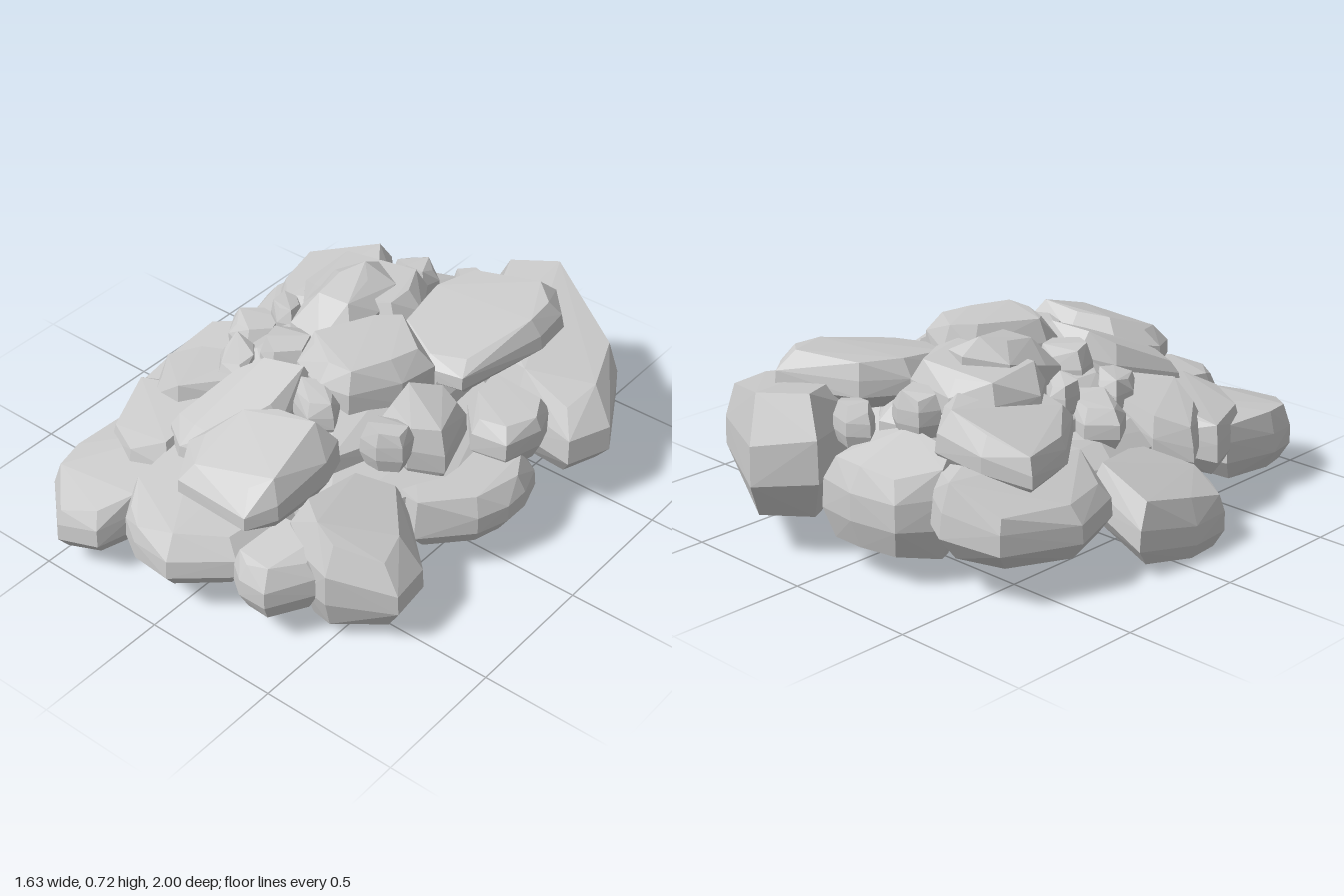
import * as THREE from 'three';
import { ConvexGeometry } from 'three/addons/geometries/ConvexGeometry.js';

const stone = new THREE.MeshStandardMaterial({ color: 0xcccccc, flatShading: true });

// Seeded noise in 0..1 so every stone is chipped differently
let seed = 11;
const noise = () => (seed = (seed * 16807) % 2147483647) / 2147483647;

// A faceted boulder: plan outline [x, z], height range at its centre,
// slope of the top along x and z (the underside follows by the factor under),
// and how much of the outline the top face covers
function boulder(name, outline, y0, y1, slopeX = 0, slopeZ = 0, under = 0.4, top = 0.76) {
  const cx = outline.reduce((s, p) => s + p[0], 0) / outline.length;
  const cz = outline.reduce((s, p) => s + p[1], 0) / outline.length;
  // Rings from underside to top: height fraction, outline scale, chipping
  const rings = [[0, 0.8, 0.08], [0.3, 1, 0], [0.62, 0.98, 0.04], [1, top, 0.18]];
  const points = [];
  for (const [t, scale, chip] of rings) {
    for (const [x, z] of outline) {
      const k = scale + (noise() - 0.5) * chip;
      const h = t - noise() * chip * t;
      const dx = (x - cx) * k, dz = (z - cz) * k;
      const tilt = (dx * slopeX + dz * slopeZ) * THREE.MathUtils.lerp(under, 1, t);
      points.push(new THREE.Vector3(cx + dx, THREE.MathUtils.lerp(y0, y1, h) + tilt, cz + dz));
    }
  }
  const mesh = new THREE.Mesh(new ConvexGeometry(points), stone);
  mesh.name = name;
  return mesh;
}

// A small filler stone with an uneven oval plan
function pebble(name, x, z, rx, rz, turn, y0, y1) {
  const outline = [];
  for (let i = 0; i < 6; i++) {
    const a = (i / 6) * Math.PI * 2, r = 1 + 0.1 * Math.sin(i * 2.3);
    const px = Math.cos(a) * rx * r, pz = Math.sin(a) * rz * r;
    outline.push([x + px * Math.cos(turn) - pz * Math.sin(turn), z + px * Math.sin(turn) + pz * Math.cos(turn)]);
  }
  return boulder(name, outline, y0, y1);
}

export function createModel() {
  const pile = new THREE.Group();
  pile.name = 'rockPile';

  // Core and lower ring of boulders
  pile.add(
    boulder('coreRock', [[-0.58, -0.1], [-0.45, -0.5], [0.1, -0.62], [0.5, -0.38], [0.55, 0.1], [0.35, 0.5], [-0.1, 0.62], [-0.5, 0.45]], 0.16, 0.45),
    boulder('upperCoreRock', [[-0.42, -0.1], [-0.35, -0.5], [0.05, -0.58], [0.35, -0.3], [0.36, 0.1], [0.25, 0.38], [-0.15, 0.4], [-0.38, 0.2]], 0.3, 0.57),
    boulder('backLeftBoulder', [[0.05, -0.85], [0.22, -1], [0.58, -0.79], [0.66, -0.75], [0.81, -0.48], [0.75, -0.31], [0.5, -0.33], [0.2, -0.5]], 0.17, 0.55, -0.25, 0, 0, 0.75),
    boulder('backRock', [[-0.38, -0.66], [-0.28, -0.82], [-0.1, -0.85], [0.06, -0.83], [0.08, -0.6], [-0.1, -0.54], [-0.33, -0.57]], 0.11, 0.49, 0.05, 0.25, -0.8),
    boulder('backRightBoulder', [[-0.73, -0.42], [-0.63, -0.7], [-0.43, -0.77], [-0.3, -0.7], [-0.2, -0.3], [-0.5, -0.15], [-0.66, -0.2]], 0.16, 0.42, 0.28, 0, 0.2, 0.86),
    boulder('rightSideRock', [[-0.82, 0.05], [-0.78, -0.2], [-0.55, -0.2], [-0.48, 0.08], [-0.65, 0.25], [-0.74, 0.27], [-0.8, 0.22]], 0.07, 0.3, 0.5, -0.1, 0.9, 0.8),
    boulder('leftSideSlab', [[0.72, -0.1], [0.68, -0.22], [0.4, -0.36], [0.1, -0.2], [0.15, 0.2], [0.53, 0.28], [0.68, 0.12], [0.72, 0]], 0.13, 0.36, -0.1, 0, -0.5, 0.85),
    boulder('frontLeftBoulder', [[0.26, 0.5], [0.3, 0.3], [0.45, 0.22], [0.68, 0.42], [0.7, 0.58], [0.5, 0.71], [0.4, 0.7], [0.27, 0.62]], 0.08, 0.46, -0.45, 0.12, -0.15, 0.72),
    boulder('frontLeftStone', [[0.18, 0.8], [0.2, 0.55], [0.42, 0.58], [0.46, 0.7], [0.36, 0.85], [0.25, 0.85]], 0.14, 0.36, 0, -0.15),
    boulder('frontSlab', [[-0.3, 0.78], [-0.3, 0.4], [0, 0.25], [0.25, 0.4], [0.2, 0.8], [0.02, 0.95], [-0.13, 0.94], [-0.23, 0.88]], 0.14, 0.39, -0.06, -0.14, 0, 0.85),
    boulder('frontRightBoulder', [[-0.63, 0.72], [-0.6, 0.48], [-0.3, 0.45], [-0.25, 0.8], [-0.3, 0.95], [-0.44, 1], [-0.6, 0.85]], 0.1, 0.33, 0.05, -0.15, 0.2, 0.9),
    boulder('rightFrontRock', [[-0.66, 0.35], [-0.5, 0.26], [-0.27, 0.3], [-0.24, 0.65], [-0.38, 0.7], [-0.55, 0.62]], 0.19, 0.41, 0.2, -0.15, 0.4, 0.88),
  );

  // Middle tier
  pile.add(
    boulder('rightMiddleRock', [[-0.66, 0.22], [-0.55, 0.13], [-0.3, 0.11], [-0.25, 0.3], [-0.4, 0.43], [-0.55, 0.4]], 0.26, 0.47, 0.35, 0, 0.4, 0.86),
    boulder('leftMiddleRock', [[0.38, -0.35], [0.63, -0.37], [0.67, -0.25], [0.63, -0.1], [0.5, -0.07], [0.39, -0.2]], 0.29, 0.5, -0.05),
    boulder('leftUprightRock', [[0.27, 0.02], [0.36, -0.13], [0.45, -0.12], [0.52, 0.1], [0.42, 0.18], [0.28, 0.16]], 0.32, 0.58, -0.4),
    boulder('backRightUpperRock', [[-0.6, -0.52], [-0.45, -0.6], [-0.28, -0.64], [-0.18, -0.5], [-0.25, -0.15], [-0.42, -0.13], [-0.55, -0.3]], 0.38, 0.57, 0.4, 0, 0.4, 0.86),
    boulder('frontUpperRock', [[-0.32, 0.55], [-0.25, 0.28], [-0.15, 0.18], [0.03, 0.18], [0.04, 0.38], [-0.1, 0.6], [-0.22, 0.62]], 0.36, 0.58, 0.1, -0.35),
    boulder('frontUpperBlock', [[-0.17, 0.62], [-0.1, 0.45], [0.05, 0.36], [0.27, 0.35], [0.3, 0.45], [0.28, 0.68], [0.22, 0.78], [-0.08, 0.77]], 0.36, 0.59, 0, -0.35, 0, 0.72),
  );

  // Crown
  pile.add(
    boulder('backCrownSlab', [[0.02, -0.45], [0.1, -0.62], [0.38, -0.75], [0.48, -0.65], [0.49, -0.5], [0.4, -0.15], [0.25, -0.12], [0.05, -0.2]], 0.48, 0.65, -0.02, -0.1, 0.4, 0.85),
    boulder('rightCrownSlab', [[-0.39, -0.25], [-0.35, -0.43], [-0.2, -0.5], [0, -0.48], [0.1, -0.33], [0.07, -0.2], [-0.3, -0.13]], 0.47, 0.67, 0.08),
    boulder('centreCrownRock', [[-0.09, 0.1], [0.03, -0.15], [0.12, -0.22], [0.32, -0.1], [0.3, 0.05], [0.2, 0.22], [0.08, 0.24], [-0.07, 0.18]], 0.45, 0.71),
    boulder('peakRock', [[-0.27, -0.28], [-0.15, -0.39], [-0.03, -0.33], [0, -0.2], [-0.01, -0.05], [-0.1, 0.02], [-0.25, 0], [-0.27, -0.1]], 0.48, 0.73, 0, -0.35, 0.4, 0.5),
  );

  // Small stones filling the gaps: x, z, radii, turn, bottom, top
  const fillers = [
    [-0.33, 0.18, 0.12, 0.08, 0.8, 0.4, 0.55],
    [-0.42, -0.02, 0.13, 0.11, 0.2, 0.36, 0.53],
    [-0.34, -0.1, 0.06, 0.09, -0.5, 0.45, 0.6],
    [-0.17, 0.1, 0.11, 0.11, 0.3, 0.45, 0.63],
    [0.36, 0.21, 0.09, 0.07, -0.7, 0.4, 0.58],
    [0.1, 0.27, 0.11, 0.08, 0.3, 0.48, 0.62],
    [-0.11, -0.56, 0.09, 0.07, -0.3, 0.46, 0.62],
    [0.06, -0.68, 0.1, 0.07, 0.2, 0.42, 0.57],
  ];
  fillers.forEach((f, i) => pile.add(pebble('fillerStone' + (i + 1), ...f)));
  return pile;
}
